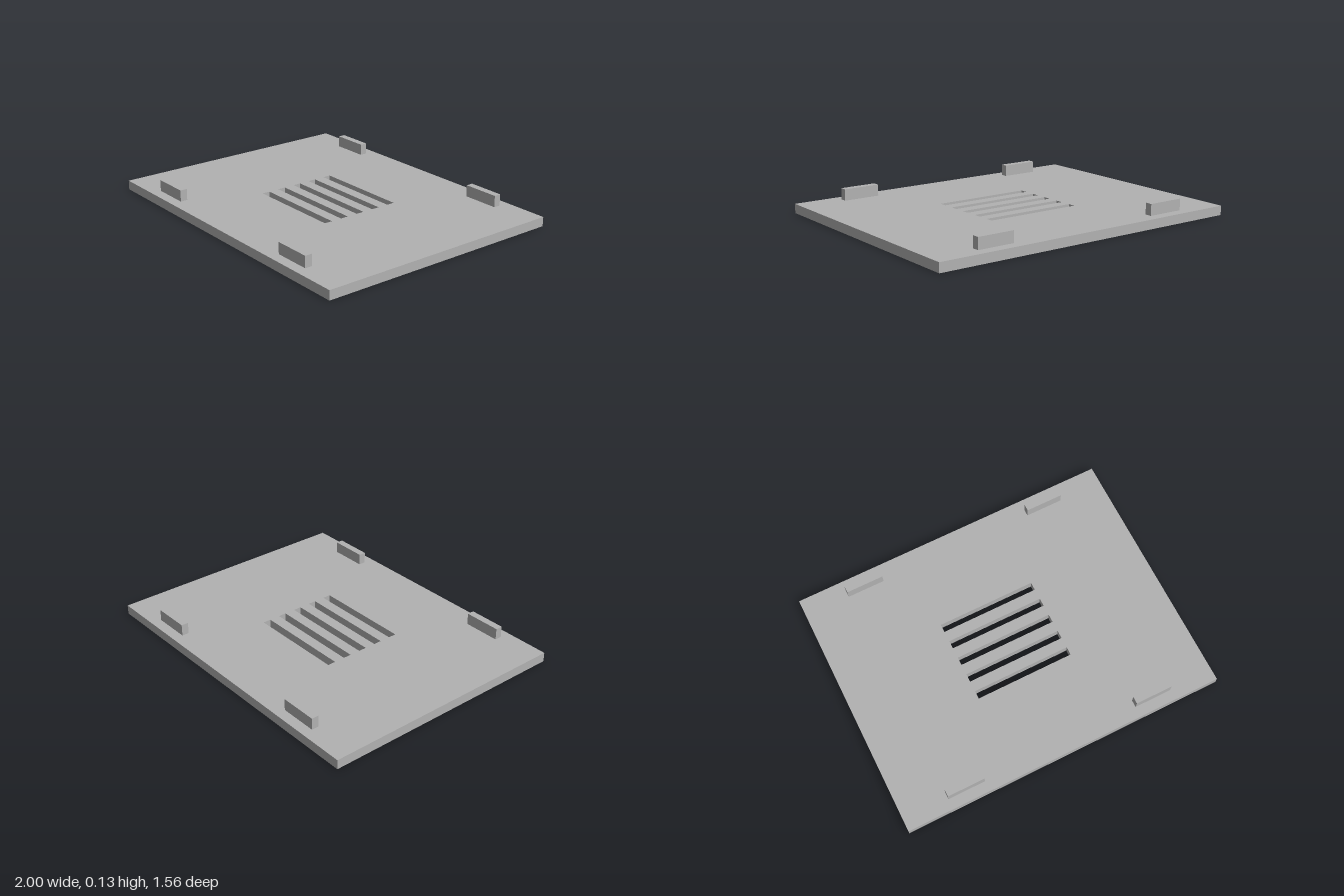
import * as THREE from 'three';

const THICKNESS = 0.057;

// Axis-aligned rectangle outline centred on (cx, cy)
function rectangle(target, cx, cy, w, h) {
  target.moveTo(cx - w / 2, cy - h / 2);
  target.lineTo(cx + w / 2, cy - h / 2);
  target.lineTo(cx + w / 2, cy + h / 2);
  target.lineTo(cx - w / 2, cy + h / 2);
  target.closePath();
  return target;
}

export function createModel() {
  const model = new THREE.Group();
  model.name = 'ventedCover';
  const grey = new THREE.MeshStandardMaterial({ color: 0xb2b2b2 });
  grey.name = 'grey';

  // Flat plate with five through-cut vent slots
  const outline = rectangle(new THREE.Shape(), 0, 0, 2, 1.556);
  for (let i = -2; i <= 2; i++) {
    outline.holes.push(rectangle(new THREE.Path(), 0, i * 0.116, 0.606, 0.05));
  }
  const plateGeometry = new THREE.ExtrudeGeometry(outline, { depth: THICKNESS, bevelEnabled: false });
  plateGeometry.rotateX(-Math.PI / 2);
  const plate = new THREE.Mesh(plateGeometry, grey);
  plate.name = 'ventedPlate';
  model.add(plate);

  // Four upright locating tabs near the front and back edges
  const tabHeight = 0.07;
  const tabGeometry = new THREE.BoxGeometry(0.23, tabHeight, 0.044);
  for (const [side, sx] of [['Left', 1], ['Right', -1]]) {
    for (const [end, sz] of [['front', 1], ['back', -1]]) {
      const tab = new THREE.Mesh(tabGeometry, grey);
      tab.name = `${end}${side}Tab`;
      tab.position.set(sx * 0.605, THICKNESS + tabHeight / 2, sz * 0.692);
      model.add(tab);
    }
  }
  return model;
}
